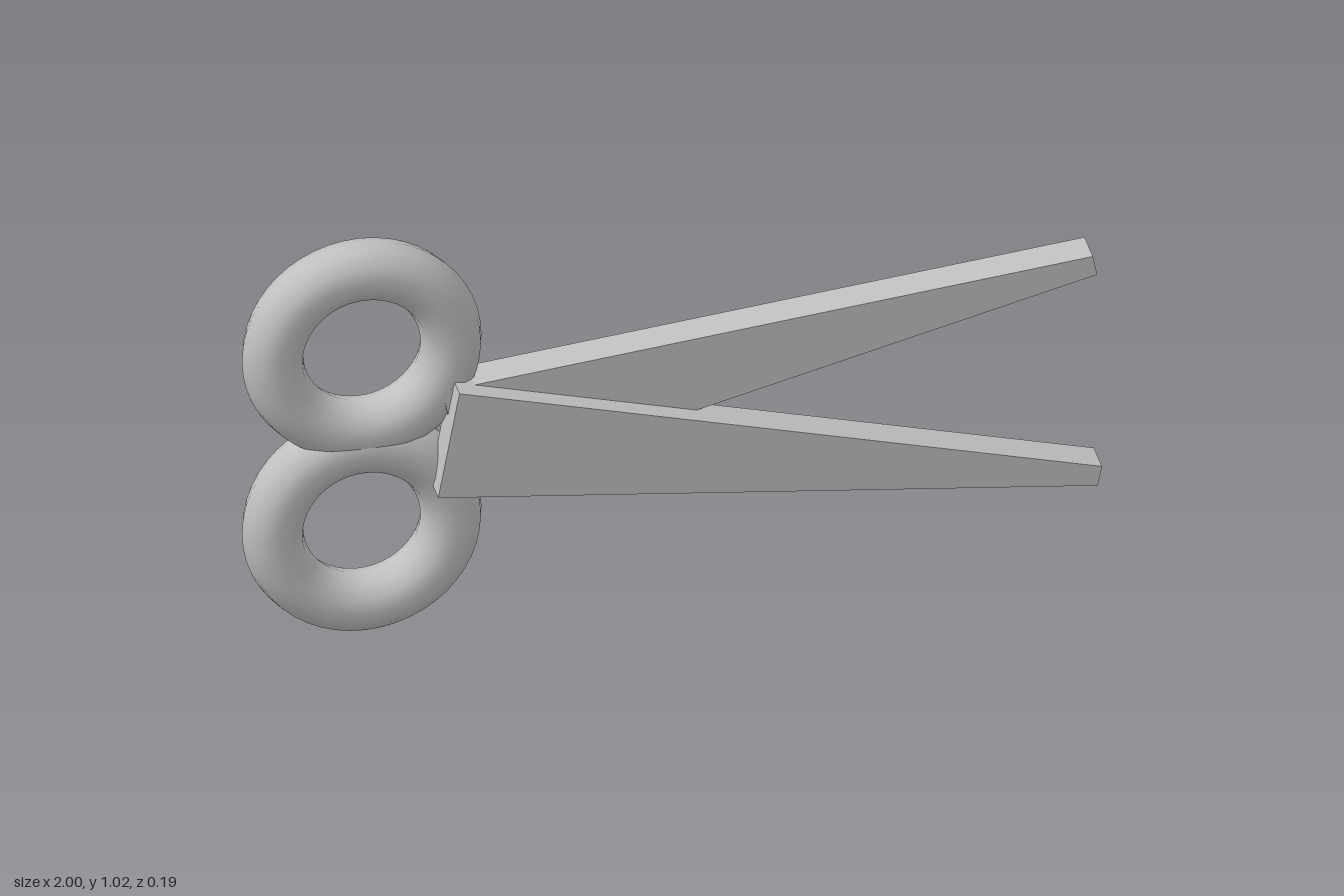
import * as THREE from 'three';

export function createModel() {
  const group = new THREE.Group();
  group.name = 'scissors';
  const steel = new THREE.MeshStandardMaterial({ color: 0xc0c0c0 });
  steel.name = 'grey steel';

  const add = (geometry, name, x = 0, y = 0, z = 0) => {
    const mesh = new THREE.Mesh(geometry, steel);
    mesh.name = name;
    mesh.position.set(x, y, z);
    group.add(mesh);
    return mesh;
  };

  // Finger rings, overlapping slightly where they meet
  const ringGeometry = new THREE.TorusGeometry(0.21, 0.072, 12, 48);
  add(ringGeometry, 'upperRing', -0.718, 0.744, -0.023);
  add(ringGeometry, 'lowerRing', -0.718, 0.283, -0.023);

  // Tapered flat blades with square ends
  const blade = (name, corners, back, front) => {
    const shape = new THREE.Shape(corners.map(([x, y]) => new THREE.Vector2(x, y)));
    const geometry = new THREE.ExtrudeGeometry(shape, { depth: front - back, bevelEnabled: false });
    add(geometry, name, 0, 0, back);
  };
  blade('frontBlade', [[-0.565, 0.393], [0.988, 0.223], [0.998, 0.273], [-0.515, 0.665]], 0.012, 0.098);
  blade('backBlade', [[-0.493, 0.378], [0.998, 0.756], [0.988, 0.806], [-0.543, 0.645]], -0.042, 0.047);

  // Pivot pin standing proud of the back blade
  const pin = add(new THREE.CylinderGeometry(0.056, 0.056, 0.1, 24), 'pivotPin', -0.476, 0.513, -0.018);
  pin.rotation.x = Math.PI / 2;

  return group;
}
